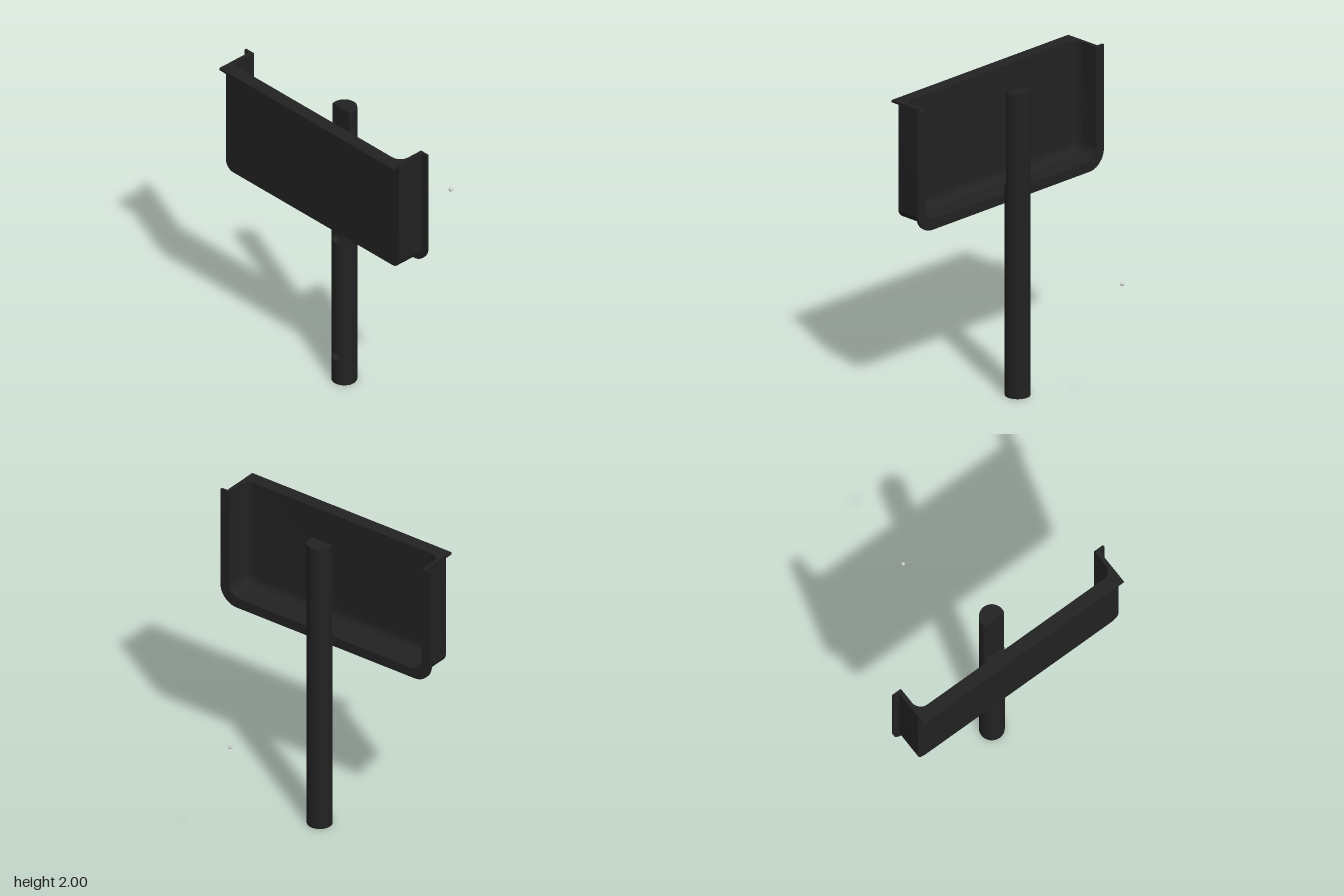
import * as THREE from 'three';
import { mergeGeometries, toCreasedNormals } from 'three/addons/utils/BufferGeometryUtils.js';

const TOP = 2;
const dark = new THREE.MeshStandardMaterial({ color: 0x222222, side: THREE.DoubleSide });
const grey = new THREE.MeshStandardMaterial({ color: 0xcccccc });

// Skin between successive rows of points
function loft(rows) {
  const n = rows[0].length, index = [];
  for (let i = 0; i < rows.length - 1; i++) {
    for (let j = 0; j < n - 1; j++) {
      const a = i * n + j, d = a + n;
      index.push(a, a + 1, d + 1, a, d + 1, d);
    }
  }
  const geo = new THREE.BufferGeometry().setFromPoints(rows.flat());
  geo.setIndex(index);
  return geo;
}

// Merge pieces, keeping sharp edges sharp
function join(pieces) {
  const plain = pieces.map((p) => {
    const g = p.index ? p.toNonIndexed() : p;
    g.deleteAttribute('uv');
    g.deleteAttribute('normal');
    return g;
  });
  return toCreasedNormals(mergeGeometries(plain), 0.6);
}

function addMesh(parent, name, geo, mat = dark) {
  const mesh = new THREE.Mesh(geo, mat);
  mesh.name = name;
  parent.add(mesh);
  return mesh;
}

// U outline: down the left side, round both lower corners, up the right side
function uOutline(w, bottom, r, z) {
  const pts = [new THREE.Vector3(-w, TOP, z)];
  for (const [cx, start] of [[-w + r, Math.PI], [w - r, 1.5 * Math.PI]]) {
    for (let k = 0; k <= 10; k++) {
      const a = start + (k / 10) * Math.PI / 2;
      pts.push(new THREE.Vector3(cx + r * Math.cos(a), bottom + r + r * Math.sin(a), z));
    }
  }
  pts.push(new THREE.Vector3(w, TOP, z));
  return pts;
}

// Tray open at the back and top, with a rear flange and filleted inside
function trayGeometry() {
  const rows = [];
  const fillet = 0.065, zIn = 0.515, zFront = 0.545;
  for (let k = 0; k <= 8; k++) {
    const a = (k / 8) * Math.PI / 2;
    const inset = fillet * (1 - Math.sin(a));
    rows.push(uOutline(0.72 - inset, 1.285 + inset, 0.08 - inset, zIn - fillet * (1 - Math.cos(a))));
  }
  rows.push(
    uOutline(0.72, 1.285, 0.08, 0.341),
    uOutline(0.785, 1.22, 0.12, 0.341),
    uOutline(0.785, 1.22, 0.12, 0.357),
    uOutline(0.745, 1.26, 0.06, 0.357),
    uOutline(0.745, 1.26, 0.06, zFront),
  );
  const flat = (row) => new THREE.ShapeGeometry(new THREE.Shape(row.map((p) => new THREE.Vector2(p.x, p.y))));
  const front = flat(rows[rows.length - 1]).translate(0, 0, zFront);
  const inner = flat(rows[0]).rotateY(Math.PI).translate(0, 0, zIn);
  // Cut edge of the shell along the top
  const side = rows.map((r) => new THREE.Vector2(r[0].x, -r[0].z));
  const other = side.map((p) => new THREE.Vector2(-p.x, p.y)).reverse();
  const rim = new THREE.ShapeGeometry(new THREE.Shape([...side, ...other]))
    .rotateX(-Math.PI / 2).translate(0, TOP, 0);
  return join([loft(rows), front, inner, rim]);
}

const R = 0.077, CUT = 1.35;

// Lower round post with two blind holes in its front
function postGeometry() {
  const a = 0.75, half = 0.055, hole = 0.029, floor = 0.015;
  const arc = (y0, y1, start, length, seg) =>
    new THREE.CylinderGeometry(R, R, y1 - y0, seg, 1, true, start, length).translate(0, (y0 + y1) / 2, 0);
  const pieces = [
    arc(0, CUT, a, 2 * Math.PI - 2 * a, 44),
    new THREE.CircleGeometry(R, 64).rotateX(Math.PI / 2),
    new THREE.CircleGeometry(R, 64).rotateX(-Math.PI / 2).translate(0, CUT, 0),
  ];
  let y = 0;
  for (const hy of [0.19, 1.03]) {
    pieces.push(arc(y, hy - half, -a, 2 * a, 16));
    y = hy + half;
    // Curved square patch narrowing to the hole, then the hole wall
    const rows = [];
    for (let i = 0; i <= 5; i++) {
      const s = Math.min(i / 4, 1), row = [];
      for (let k = 0; k <= 64; k++) {
        const c = Math.cos(k * Math.PI / 32), q = Math.sin(k * Math.PI / 32);
        const m = Math.max(Math.abs(c), Math.abs(q));
        const t = THREE.MathUtils.lerp(a * c / m, Math.asin(hole * c / R), s);
        const v = THREE.MathUtils.lerp(half * q / m, hole * q, s);
        row.push(new THREE.Vector3(R * Math.sin(t), hy + v, i === 5 ? floor : R * Math.cos(t)));
      }
      rows.push(row);
    }
    pieces.push(loft(rows), new THREE.CircleGeometry(hole, 64).translate(0, hy, floor));
  }
  pieces.push(arc(y, CUT, -a, 2 * a, 16));
  return join(pieces);
}

// Upper post with its front cut flat
function flatPostGeometry() {
  const cut = 0.026, b = Math.asin(cut / R);
  const shape = new THREE.Shape().absarc(0, 0, R, -b, Math.PI + b, false);
  return join([new THREE.ExtrudeGeometry(shape, { depth: 1.94 - CUT, bevelEnabled: false, curveSegments: 40 })
    .rotateX(-Math.PI / 2).translate(0, CUT, 0)]);
}

export function createModel() {
  const model = new THREE.Group();
  model.name = 'trayOnPost';

  const tray = new THREE.Group();
  tray.name = 'tray';
  addMesh(tray, 'trayShell', trayGeometry());
  addMesh(tray, 'topLip', new THREE.BoxGeometry(1.49, 0.015, 0.058)).position.set(0, TOP - 0.0075, 0.571);

  const post = new THREE.Group();
  post.name = 'post';
  post.position.z = 0.285;
  addMesh(post, 'lowerPost', postGeometry());
  addMesh(post, 'upperPost', flatPostGeometry());

  // Small loose ball behind the post
  const ball = addMesh(model, 'ball', new THREE.SphereGeometry(0.012, 24, 16), grey);
  ball.position.set(0, 0.945, -0.588);

  model.add(tray, post);
  return model;
}
